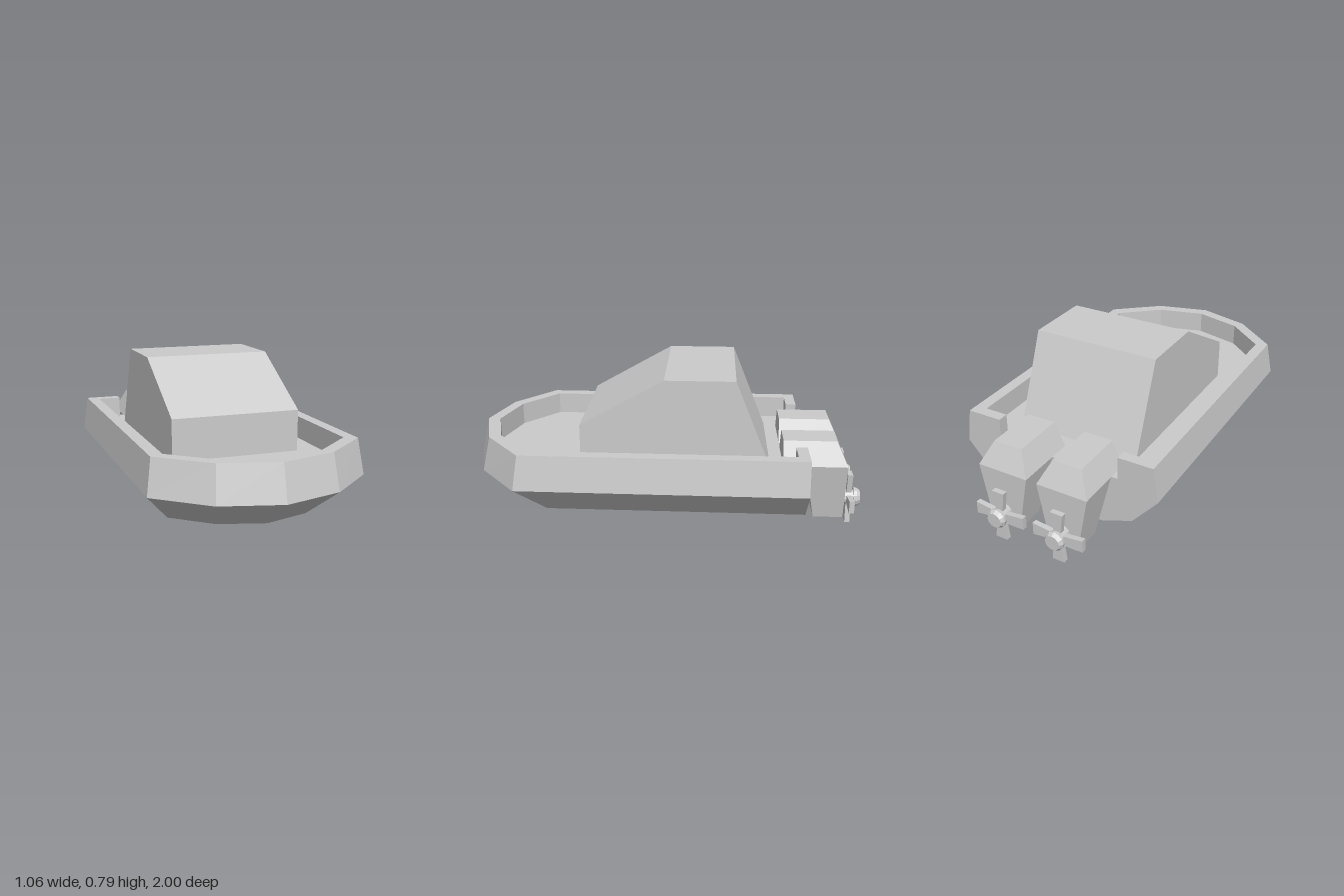
import * as THREE from 'three';

const material = new THREE.MeshStandardMaterial({ color: 0xcccccc, flatShading: true });

function part(name, geometry) {
  const mesh = new THREE.Mesh(geometry, material);
  mesh.name = name;
  return mesh;
}

// Mirror a half outline [x, z] (stern to bow, last point on the centreline).
const mirrored = (half) => [...half, ...half.slice(0, -1).reverse().map(([x, z]) => [-x, z])];

// Skin between successive rings of equal point count.
function loft(rings) {
  const positions = [], index = [], n = rings[0].points.length;
  rings.forEach((r) => r.points.forEach(([x, z]) => positions.push(x, r.y, z)));
  for (let i = 0; i < rings.length - 1; i++) {
    for (let j = 0; j < n - 1; j++) {
      const a = i * n + j, b = a + 1, c = a + n, d = c + 1;
      index.push(a, c, b, b, c, d);
    }
  }
  const g = new THREE.BufferGeometry();
  g.setAttribute('position', new THREE.Float32BufferAttribute(positions, 3));
  g.setIndex(index);
  const flat = g.toNonIndexed();
  flat.computeVertexNormals();
  return flat;
}

const flatShape = (points) =>
  new THREE.ShapeGeometry(new THREE.Shape(points.map(([x, y]) => new THREE.Vector2(x, y))));

// Box whose bottom and top rectangles differ: { y, w: half width, z0, z1 }.
function block(bottom, top) {
  const g = new THREE.BoxGeometry(1, 1, 1);
  const p = g.attributes.position;
  for (let i = 0; i < p.count; i++) {
    const r = p.getY(i) > 0 ? top : bottom;
    p.setXYZ(i, Math.sign(p.getX(i)) * r.w, r.y, p.getZ(i) > 0 ? r.z1 : r.z0);
  }
  g.computeVertexNormals();
  return g;
}

function createHull() {
  const hull = new THREE.Group();
  hull.name = 'hull';
  const stern = -0.7, floorY = 0.35, rimY = 0.465, gap = 0.325;
  // Stern corner is repeated so outer rings match the inner ring's point count.
  const outer = (x, shoulderZ, midX, midZ, bowZ) =>
    mirrored([[x, stern], [x, stern], [x, stern], [x, shoulderZ], [midX, midZ], [0, bowZ]]);
  const inner = mirrored([[gap, stern], [gap, -0.645], [0.445, -0.645], [0.445, 0.66], [0.245, 0.83], [0, 0.895]]);
  const keel = outer(0.24, 0.4, 0.13, 0.46, 0.485);

  // Outer skin, rim and inside of the bulwark
  hull.add(part('hullSkin', loft([
    { y: 0.08, points: keel },
    { y: 0.14, points: outer(0.4, 0.58, 0.22, 0.735, 0.8) },
    { y: 0.29, points: outer(0.53, 0.715, 0.29, 0.92, 1.0) },
    { y: rimY, points: outer(0.505, 0.69, 0.275, 0.882, 0.958) },
    { y: rimY, points: inner },
    { y: floorY, points: inner },
  ])));

  // Deck floor
  const deck = flatShape(inner.map(([x, z]) => [x, -z]));
  deck.rotateX(-Math.PI / 2).translate(0, floorY, 0);
  hull.add(part('deck', deck));

  // Flat bottom
  const bottom = flatShape(keel.slice(2, -2));
  bottom.rotateX(Math.PI / 2).translate(0, 0.08, 0);
  hull.add(part('hullBottom', bottom));

  // Transom with the opening for the motors
  const side = [[0.24, 0.08], [0.4, 0.14], [0.53, 0.29], [0.505, rimY], [gap, rimY], [gap, floorY]];
  const transom = flatShape([...side, ...side.map(([x, y]) => [-x, y]).reverse()]);
  transom.rotateY(Math.PI).translate(0, 0, stern);
  hull.add(part('transom', transom));
  return hull;
}

function createCabin() {
  // Side profile as (z, y), extruded across the width
  const profile = [[0.415, 0.35], [0.415, 0.557], [0, 0.792], [-0.345, 0.792], [-0.525, 0.35]];
  const shape = new THREE.Shape(profile.map(([z, y]) => new THREE.Vector2(-z, y)));
  const g = new THREE.ExtrudeGeometry(shape, { depth: 0.65, bevelEnabled: false });
  g.translate(0, 0, -0.325).rotateY(Math.PI / 2);
  return part('cabin', g);
}

function createPropeller() {
  const propeller = new THREE.Group();
  propeller.name = 'propeller';
  const disc = (name, rFront, rBack, z0, z1) => {
    const g = new THREE.CylinderGeometry(rFront, rBack, z1 - z0, 12);
    g.rotateX(Math.PI / 2).translate(0, 0, (z0 + z1) / 2);
    propeller.add(part(name, g));
  };
  disc('shaft', 0.037, 0.037, -0.975, -0.905);
  disc('hubCap', 0.048, 0.05, -0.982, -0.968);
  disc('hubNose', 0.05, 0.038, -1.0, -0.982);
  // Four blades, wider at the tips
  for (let i = 0; i < 4; i++) {
    const blade = part('blade', block(
      { y: 0.02, w: 0.018, z0: -0.957, z1: -0.931 },
      { y: 0.132, w: 0.032, z0: -0.957, z1: -0.931 }));
    blade.rotation.z = (i * Math.PI) / 2;
    propeller.add(blade);
  }
  propeller.position.y = 0.132;
  return propeller;
}

function createMotor(name, x) {
  const motor = new THREE.Group();
  motor.name = name;
  motor.add(part('motorHood', block(
    { y: 0.35, w: 0.132, z0: -0.91, z1: -0.59 },
    { y: 0.465, w: 0.075, z0: -0.855, z1: -0.59 })));
  motor.add(part('motorLeg', block(
    { y: 0.05, w: 0.076, z0: -0.91, z1: -0.76 },
    { y: 0.35, w: 0.132, z0: -0.91, z1: -0.702 })));
  motor.add(createPropeller());
  motor.position.x = x;
  return motor;
}

export function createModel() {
  const boat = new THREE.Group();
  boat.name = 'boat';
  boat.add(createHull(), createCabin(), createMotor('leftMotor', 0.16), createMotor('rightMotor', -0.16));
  return boat;
}
